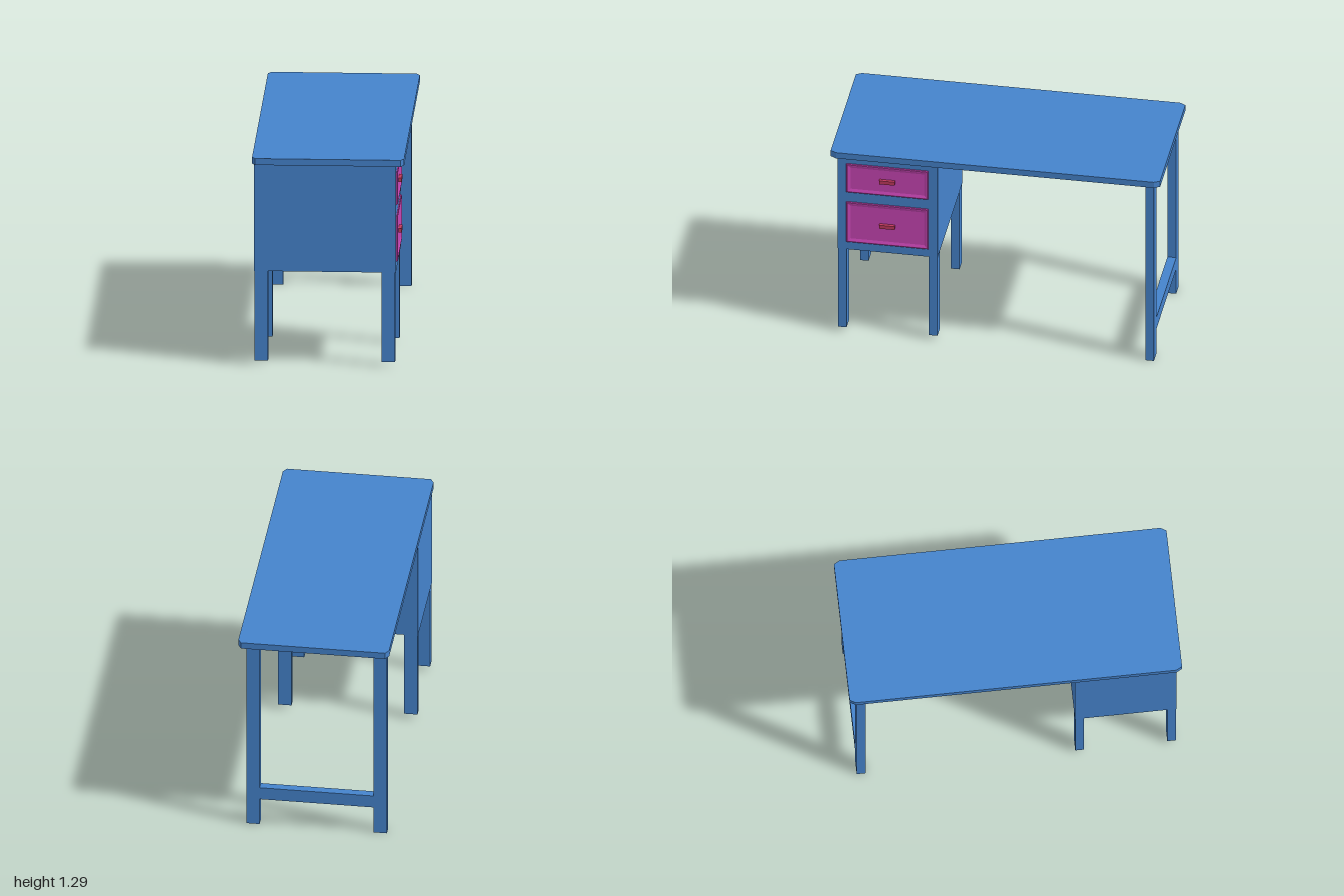
import * as THREE from 'three';

const paint = (color) => new THREE.MeshStandardMaterial({ color, flatShading: true });
const blue = paint(0x4583cc);
const magenta = paint(0xc846b4);
const red = paint(0xc23a5e);

// Box given by its [min, max] range on each axis
function box(name, [x0, x1], [y0, y1], [z0, z1], material = blue) {
  const mesh = new THREE.Mesh(new THREE.BoxGeometry(x1 - x0, y1 - y0, z1 - z0), material);
  mesh.position.set((x0 + x1) / 2, (y0 + y1) / 2, (z0 + z1) / 2);
  mesh.name = name;
  return mesh;
}

// Desk top: slab with clipped corners
function tableTop() {
  const w = 0.455, d = 1, cx = 0.02, cz = 0.035;
  const outline = [
    [-w + cx, -d], [w - cx, -d], [w, -d + cz], [w, d - cz],
    [w - cx, d], [-w + cx, d], [-w, d - cz], [-w, -d + cz],
  ].map(([x, y]) => new THREE.Vector2(x, y));
  const geometry = new THREE.ExtrudeGeometry(new THREE.Shape(outline), { depth: 0.04, bevelEnabled: false });
  geometry.rotateX(-Math.PI / 2);
  const mesh = new THREE.Mesh(geometry, blue);
  mesh.position.y = 1.25;
  mesh.name = 'tableTop';
  return mesh;
}

// Drawer front facing +x: rectangular loops forming a rim around a sunken panel
function drawerFront([y0, y1], [z0, z1]) {
  const profile = [[0, 0.403], [0, 0.41], [0.005, 0.414], [0.011, 0.414], [0.026, 0.408]]; // [inset, x]
  const positions = [], index = [];
  for (const [i, x] of profile) {
    positions.push(x, y0 + i, z1 - i, x, y0 + i, z0 + i, x, y1 - i, z0 + i, x, y1 - i, z1 - i);
  }
  for (let k = 0; k < profile.length - 1; k++) {
    for (let i = 0; i < 4; i++) {
      const a = k * 4 + i, b = k * 4 + (i + 1) % 4;
      index.push(a, b, b + 4, a, b + 4, a + 4);
    }
  }
  const last = (profile.length - 1) * 4;
  index.push(last, last + 1, last + 2, last, last + 2, last + 3);
  const indexed = new THREE.BufferGeometry();
  indexed.setAttribute('position', new THREE.Float32BufferAttribute(positions, 3));
  indexed.setIndex(index);
  const geometry = indexed.toNonIndexed();
  geometry.computeVertexNormals();
  const mesh = new THREE.Mesh(geometry, magenta);
  mesh.name = 'drawerFront';
  return mesh;
}

export function createModel() {
  const desk = new THREE.Group();
  desk.name = 'desk';
  desk.add(tableTop());
  desk.add(box('cabinet', [-0.445, 0.405], [0.585, 1.25], [0.355, 0.965]));

  // Short legs under the cabinet
  for (const x of [[-0.442, -0.36], [0.318, 0.4]]) {
    for (const z of [[0.357, 0.408], [0.91, 0.961]]) {
      desk.add(box('cabinetLeg', x, [0.03, 0.585], z));
    }
  }

  // Full-height legs at the far end, joined by a stretcher
  const endZ = [-0.958, -0.905];
  for (const x of [[-0.44, -0.36], [0.328, 0.408]]) desk.add(box('endLeg', x, [0, 1.25], endZ));
  desk.add(box('stretcher', [-0.36, 0.328], [0.175, 0.255], endZ));

  // Drawers: [front height range, handle centre height]
  for (const [y, h] of [[[0.99, 1.19], 1.09], [[0.64, 0.922], 0.777]]) {
    const drawer = new THREE.Group();
    drawer.name = 'drawer';
    drawer.add(drawerFront(y, [0.41, 0.91]));
    drawer.add(box('handle', [0.405, 0.428], [h - 0.012, h + 0.012], [0.615, 0.709], red));
    desk.add(drawer);
  }
  return desk;
}
